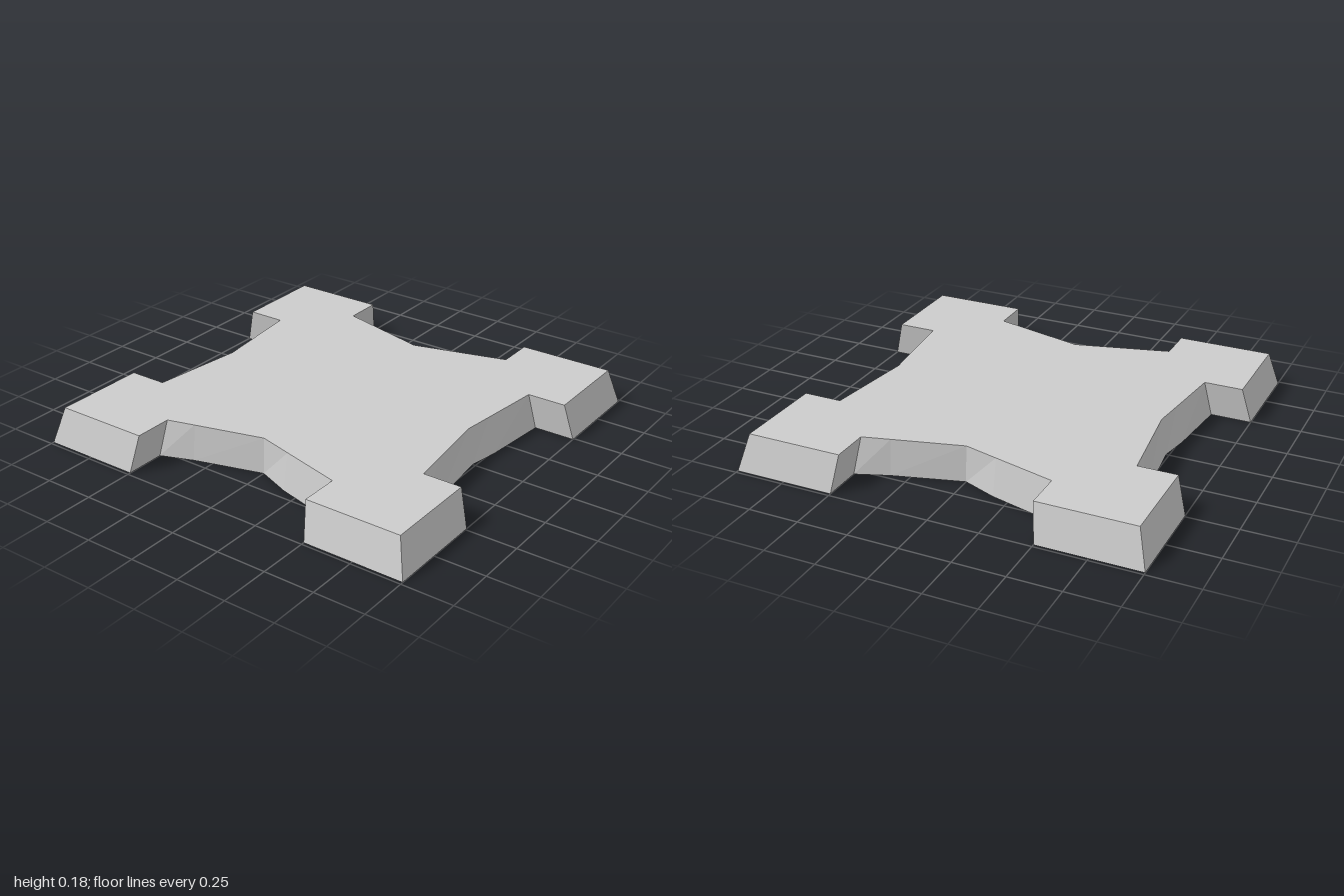
import * as THREE from 'three';

const HEIGHT = 0.18;

// Half of the star-fort outline as [bottom x, bottom z, top x, top z];
// the other half is the same run turned by 180 degrees.
const half = [
  [0.63, 0, 0.62, 0],                  // left curtain, middle
  [0.725, 0.34, 0.709, 0.34],
  [0.785, 0.5, 0.745, 0.475],          // front left bastion
  [0.985, 0.5, 0.935, 0.475],
  [0.985, 1, 0.935, 0.952],
  [0.49, 1, 0.467, 0.952],
  [0.49, 0.797, 0.467, 0.76],
  [0.15, 0.763, 0.15, 0.723],          // front curtain
  [0, 0.735, 0, 0.705],
  [-0.33, 0.772, -0.33, 0.744],
  [-0.49, 0.797, -0.467, 0.76],        // front right bastion
  [-0.49, 1, -0.467, 0.952],
  [-0.985, 1, -0.935, 0.952],
  [-0.985, 0.5, -0.935, 0.475],
  [-0.785, 0.5, -0.745, 0.475],
  [-0.698, 0.17, -0.665, 0.17],        // right curtain
];

function fortGeometry() {
  const outline = [...half, ...half.map((p) => p.map((v) => -v))];
  const bottom = outline.map(([x, z]) => new THREE.Vector3(x, 0, z));
  const top = outline.map(([, , x, z]) => new THREE.Vector3(x, HEIGHT, z));
  const points = [];

  // Sloped walls
  for (let i = 0; i < outline.length; i++) {
    const j = (i + 1) % outline.length;
    points.push(bottom[i], top[i], bottom[j], top[i], top[j], bottom[j]);
  }

  // Flat top and underside
  const cap = (ring, up) => {
    const flat = ring.map((p) => new THREE.Vector2(p.x, p.z));
    for (const [a, b, c] of THREE.ShapeUtils.triangulateShape(flat, [])) {
      const u = flat[b].clone().sub(flat[a]);
      const v = flat[c].clone().sub(flat[a]);
      const facesUp = u.cross(v) < 0;
      if (facesUp === up) points.push(ring[a], ring[b], ring[c]);
      else points.push(ring[a], ring[c], ring[b]);
    }
  };
  cap(top, true);
  cap(bottom, false);

  const geometry = new THREE.BufferGeometry().setFromPoints(points);
  geometry.computeVertexNormals();
  return geometry;
}

export function createModel() {
  const group = new THREE.Group();
  group.name = 'fortBase';

  const stone = new THREE.MeshStandardMaterial({ color: 0xcccccc });
  stone.name = 'light grey stone';

  const platform = new THREE.Mesh(fortGeometry(), stone);
  platform.name = 'bastionedPlatform';
  group.add(platform);
  return group;
}
